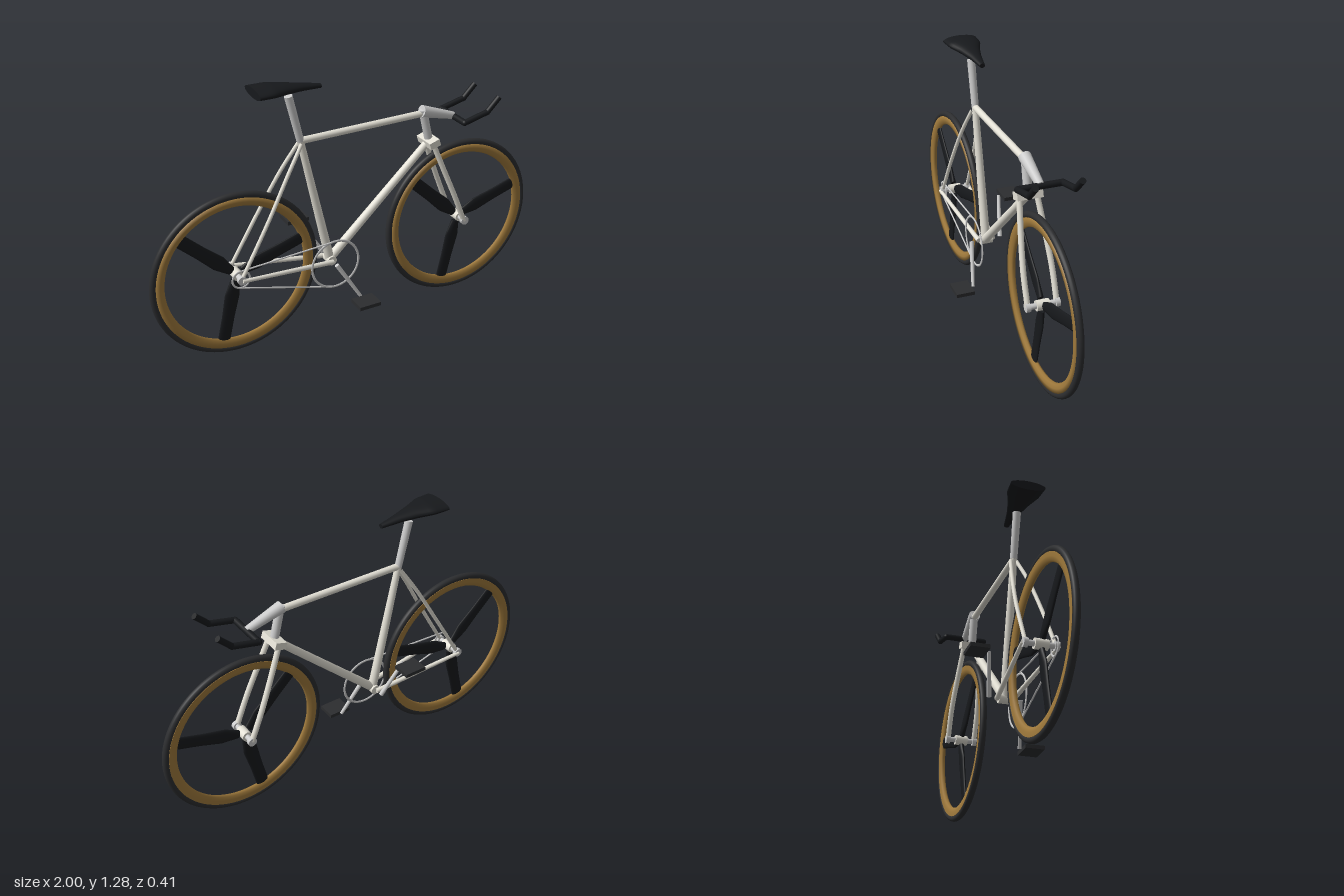
import * as THREE from 'three';

const mat = (color) => new THREE.MeshStandardMaterial({ color });
const framePaint = mat(0xe4e1d6);
const metal = mat(0xcccccc);
const rubber = mat(0x2c2d2f);
const carbon = mat(0x17191c);
const rimPaint = mat(0xa07a3c);
const V = (x, y, z = 0) => new THREE.Vector3(x, y, z);

// Key points of the bicycle
const REAR = V(-0.596, 0.413), FRONT = V(0.59, 0.413);
const BRACKET = V(-0.122, 0.36), SEAT = V(-0.26, 0.995), CROWN = V(0.41, 0.855), HEAD = V(0.37, 1.0);

function add(parent, name, geometry, material) {
  const mesh = new THREE.Mesh(geometry, material);
  mesh.name = name;
  parent.add(mesh);
  return mesh;
}

// Straight tube from a to b, optionally tapered
function rod(parent, name, a, b, r0, material, r1 = r0, sides = 20) {
  const mesh = add(parent, name, new THREE.CylinderGeometry(r1, r0, a.distanceTo(b), sides), material);
  mesh.position.copy(a).lerp(b, 0.5);
  mesh.quaternion.setFromUnitVectors(V(0, 1), b.clone().sub(a).normalize());
  return mesh;
}

// Smoothly bent tube
function bent(parent, name, points, r, material) {
  const curve = new THREE.CatmullRomCurve3(points);
  return add(parent, name, new THREE.TubeGeometry(curve, 24, r, 14), material);
}

// Piecewise-linear lookup: rows of [t, ...values]
function sample(rows, t) {
  let i = 0;
  while (i < rows.length - 2 && t > rows[i + 1][0]) i++;
  const a = rows[i], b = rows[i + 1];
  const k = THREE.MathUtils.clamp((t - a[0]) / (b[0] - a[0]), 0, 1);
  return a.map((v, j) => v + (b[j] - v) * k);
}

// Unit cylinder along y whose sections follow rows of [t, offset, half x, half z]
function loft(rows, steps) {
  const geo = new THREE.CylinderGeometry(1, 1, 1, 28, steps);
  const p = geo.attributes.position;
  for (let i = 0; i < p.count; i++) {
    const t = THREE.MathUtils.lerp(rows[0][0], rows[rows.length - 1][0], p.getY(i) + 0.5);
    const [, offset, hx, hz] = sample(rows, t);
    p.setXYZ(i, offset + p.getX(i) * hx, t, p.getZ(i) * hz);
  }
  geo.computeVertexNormals();
  return geo;
}

function makeWheel(name, centre) {
  const wheel = new THREE.Group();
  wheel.name = name;
  wheel.position.copy(centre);
  add(wheel, 'tire', new THREE.TorusGeometry(0.39, 0.016, 16, 96), rubber);

  // Rim: closed profile turned around the axle
  const profile = [[0.38, -0.014], [0.38, 0.014], [0.36, 0.014], [0.342, 0.01], [0.336, 0],
    [0.342, -0.01], [0.36, -0.014], [0.38, -0.014]].map(([r, z]) => new THREE.Vector2(r, z));
  const rimMaterial = rimPaint.clone();
  rimMaterial.side = THREE.DoubleSide;
  add(wheel, 'rim', new THREE.LatheGeometry(profile, 96), rimMaterial).rotation.x = Math.PI / 2;

  // Three broad blades
  const blade = loft([[0.03, 0, 0.02, 0.013], [0.11, 0, 0.036, 0.011],
    [0.22, 0, 0.031, 0.01], [0.345, 0, 0.031, 0.009]], 16);
  for (const angle of [17, 137, 257]) {
    add(wheel, 'blade', blade, carbon).rotation.z = THREE.MathUtils.degToRad(angle - 90);
  }

  // Hub, axle and axle nuts
  rod(wheel, 'hub', V(0, 0, -0.03), V(0, 0, 0.03), 0.024, framePaint);
  rod(wheel, 'axle', V(0, 0, -0.07), V(0, 0, 0.07), 0.013, metal);
  for (const s of [-1, 1]) rod(wheel, 'axleNut', V(0, 0, s * 0.058), V(0, 0, s * 0.078), 0.021, metal);
  return wheel;
}

function makeFrame() {
  const frame = new THREE.Group();
  frame.name = 'frame';
  rod(frame, 'seatTube', BRACKET, SEAT, 0.022, framePaint, 0.016);
  rod(frame, 'topTube', SEAT, HEAD, 0.016, framePaint);
  rod(frame, 'downTube', BRACKET, CROWN, 0.021, framePaint, 0.018);
  rod(frame, 'headTube', CROWN, V(0.37, 1.02), 0.02, metal);
  rod(frame, 'bottomBracket', V(-0.122, 0.36, -0.03), V(-0.122, 0.36, 0.03), 0.023, framePaint);
  for (const s of [-1, 1]) {
    bent(frame, 'seatStay', [V(-0.26, 0.985, s * 0.014), V(-0.34, 0.86, s * 0.035),
      V(-0.45, 0.667, s * 0.055), V(-0.596, 0.413, s * 0.066)], 0.009, framePaint);
    rod(frame, 'chainStay', V(-0.596, 0.413, s * 0.078), V(-0.122, 0.358, s * 0.036), 0.009, framePaint, 0.012);
  }
  return frame;
}

function makeFork() {
  const fork = new THREE.Group();
  fork.name = 'fork';
  const crown = add(fork, 'forkCrown', new THREE.BoxGeometry(0.055, 0.034, 0.118), framePaint);
  crown.position.copy(CROWN);
  crown.rotation.z = 0.3;
  for (const s of [-1, 1]) {
    bent(fork, 'forkBlade', [V(0.41, 0.85, s * 0.04), V(0.47, 0.7, s * 0.055),
      V(0.53, 0.555, s * 0.066), V(0.588, 0.413, s * 0.067)], 0.013, framePaint);
  }
  return fork;
}

function makeHandlebar() {
  const bar = new THREE.Group();
  bar.name = 'handlebar';
  rod(bar, 'stem', V(0.365, 1.012), V(0.54, 0.957), 0.029, metal, 0.018);
  rod(bar, 'crossBar', V(0.54, 0.955, -0.1), V(0.54, 0.955, 0.1), 0.015, carbon);
  for (const s of [-1, 1]) {
    const z = s * 0.1;
    const path = [V(0.54, 0.955, z), V(0.665, 0.985, z), V(0.728, 1.048, z)];
    for (let i = 0; i < 2; i++) {
      rod(bar, 'horn', path[i], path[i + 1], 0.014, carbon);
      add(bar, 'hornElbow', new THREE.SphereGeometry(0.0145, 16, 12), carbon).position.copy(path[i]);
    }
  }
  return bar;
}

function makeSaddle() {
  const saddle = new THREE.Group();
  saddle.name = 'saddle';
  rod(saddle, 'seatPost', SEAT, V(-0.312, 1.215), 0.017, metal, 0.019);
  // Lofted along y, then turned so its length runs along x
  const shell = loft([[-0.475, 1.259, 0.022, 0.083], [-0.4, 1.258, 0.026, 0.077], [-0.33, 1.253, 0.023, 0.05],
    [-0.25, 1.246, 0.017, 0.029], [-0.157, 1.235, 0.01, 0.013]], 20);
  shell.applyMatrix4(new THREE.Matrix4().set(0, 1, 0, 0, 1, 0, 0, 0, 0, 0, -1, 0, 0, 0, 0, 1));
  add(saddle, 'seat', shell, carbon);
  return saddle;
}

function makeDrivetrain() {
  const drive = new THREE.Group();
  drive.name = 'drivetrain';
  const z = 0.06;
  const ring = add(drive, 'chainring', new THREE.TorusGeometry(0.121, 0.006, 8, 64), metal);
  ring.position.set(BRACKET.x, BRACKET.y, z);
  ring.scale.z = 0.6;
  const sprocket = add(drive, 'sprocket', new THREE.TorusGeometry(0.042, 0.005, 8, 32), metal);
  sprocket.position.set(REAR.x, REAR.y, z);
  sprocket.scale.z = 0.6;
  rod(drive, 'upperChain', V(-0.59, 0.456, z), V(-0.11, 0.481, z), 0.004, metal, 0.004, 8);
  rod(drive, 'lowerChain', V(-0.605, 0.372, z), V(-0.145, 0.241, z), 0.004, metal, 0.004, 8);

  // Opposed cranks with flat pedals
  const arms = [[1, V(-0.012, 0.175, 0.105)], [-1, V(-0.225, 0.53, -0.105)]];
  for (const [s, end] of arms) {
    rod(drive, 'crank', V(BRACKET.x, BRACKET.y, s * 0.073), end, 0.011, metal, 0.008);
    add(drive, 'pedal', new THREE.BoxGeometry(0.11, 0.018, 0.09), rubber)
      .position.set(end.x, s > 0 ? 0.172 : 0.53, s * 0.16);
  }
  return drive;
}

export function createModel() {
  const bicycle = new THREE.Group();
  bicycle.name = 'bicycle';
  bicycle.add(makeWheel('rearWheel', REAR), makeWheel('frontWheel', FRONT), makeFrame(), makeFork(),
    makeHandlebar(), makeSaddle(), makeDrivetrain());
  return bicycle;
}
